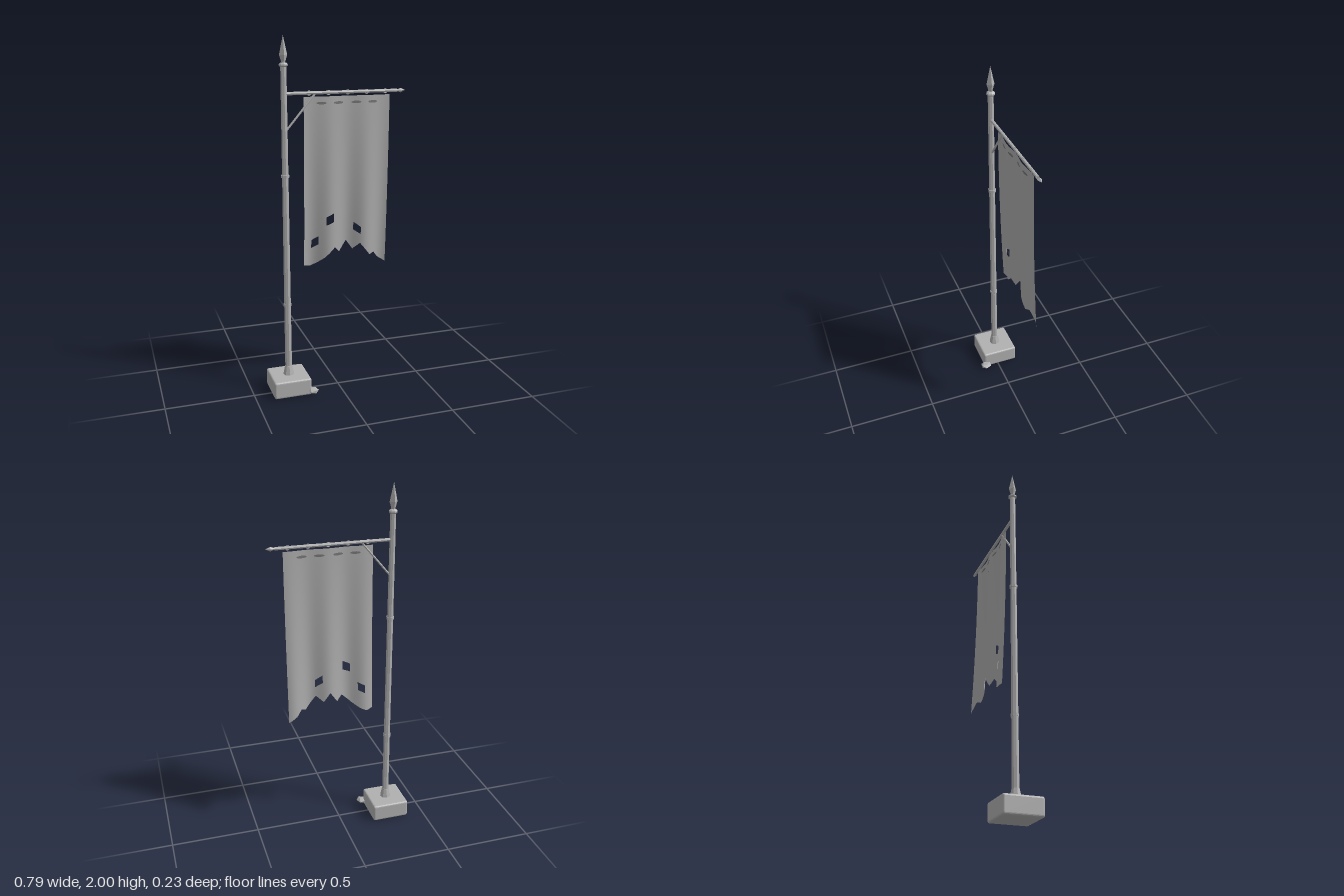
import * as THREE from 'three';
import { RoundedBoxGeometry } from 'three/addons/geometries/RoundedBoxGeometry.js';

const POLE_X = -0.292, POLE_Z = -0.015, BAR_Y = 1.7, CLOTH_TOP = 1.68;

export function createModel() {
  const group = new THREE.Group();
  const grey = new THREE.MeshStandardMaterial({ color: 0xb0b0b0, flatShading: true });
  grey.name = 'plain grey';
  const cloth = new THREE.MeshStandardMaterial({ color: 0xacacac, side: THREE.DoubleSide });
  cloth.name = 'cloth grey';
  const dark = new THREE.MeshStandardMaterial({ color: 0x777777, side: THREE.DoubleSide });
  dark.name = 'stitch grey';

  const add = (name, geometry, material, x = 0, y = 0, z = 0) => {
    const mesh = new THREE.Mesh(geometry, material);
    mesh.name = name;
    mesh.position.set(x, y, z);
    group.add(mesh);
    return mesh;
  };
  const lathe = (points, sides) =>
    new THREE.LatheGeometry(points.map(([r, y]) => new THREE.Vector2(r, y)), sides);
  // Straight round rod between two points
  const rod = (name, a, b, radius, sides) => {
    const dir = b.clone().sub(a);
    const mesh = add(name, new THREE.CylinderGeometry(radius, radius, dir.length(), sides), grey);
    mesh.position.copy(a).add(b).multiplyScalar(0.5);
    mesh.quaternion.setFromUnitVectors(new THREE.Vector3(0, 1, 0), dir.normalize());
  };

  // Chamfered base block and the loose stone beside it
  add('base', new RoundedBoxGeometry(0.215, 0.1, 0.213, 2, 0.011), grey, POLE_X, 0.052, POLE_Z);
  const stone = add('stone', new THREE.IcosahedronGeometry(0.034, 0), grey, -0.176, 0.026, 0.085);
  stone.scale.set(0.95, 0.5, 1.05);
  stone.rotation.y = 0.4;

  // Pole with foot collar, bands and cap
  add('pole', lathe([[0.02, 0.1], [0.0165, 1.85]], 8), grey, POLE_X, 0, POLE_Z);
  add('footCollar', lathe([[0.032, 0.1], [0.03, 0.112], [0.021, 0.155], [0, 0.155]], 8), grey, POLE_X, 0, POLE_Z);
  for (const y of [0.525, 1.26])
    add('poleBand', new THREE.CylinderGeometry(0.0225, 0.0225, 0.014, 8), grey, POLE_X, y, POLE_Z);
  add('poleCap', lathe([[0, 1.838], [0.018, 1.838], [0.024, 1.845], [0.024, 1.852], [0.016, 1.86], [0, 1.862]], 8),
    grey, POLE_X, 0, POLE_Z);
  add('spearhead', lathe([[0, 1.858], [0.009, 1.858], [0.022, 1.9], [0, 2]], 4), grey, POLE_X, 0, POLE_Z);

  // Crossbar, its pointed tip, and the diagonal brace
  const at = (x, y) => new THREE.Vector3(x, y, POLE_Z);
  rod('crossbar', at(POLE_X, BAR_Y), at(0.345, BAR_Y), 0.009, 8);
  const tip = add('crossbarTip', lathe([[0, 0], [0.004, 0], [0.012, 0.022], [0, 0.05]], 4), grey, 0.344, BAR_Y, POLE_Z);
  tip.rotation.z = -Math.PI / 2;
  rod('brace', at(-0.28, 1.508), at(-0.122, 1.695), 0.006, 6);

  // Rings tying the banner to the bar
  for (let i = 0; i < 5; i++)
    add('bannerRing', new THREE.TorusGeometry(0.0105, 0.0035, 6, 12), grey, -0.155 + i * 0.108, BAR_Y - 0.001, POLE_Z);

  // Depth of the hanging cloth: folds grow and drift back towards the hem
  const depth = (x, y) => {
    const t = (CLOTH_TOP - y) / 0.95;
    const fold = Math.cos((x - 0.065) * 2 * Math.PI / 0.208);
    return -0.013 - 0.024 * t * t - (0.004 + 0.014 * t) * fold;
  };
  // Patch of cloth between x0 and x1, with sloping upper and lower edges
  const patch = (pos, nor, index, x0, x1, upper, lower, nx, ny) => {
    const start = pos.length / 3, e = 0.001;
    for (let j = 0; j <= ny; j++) for (let i = 0; i <= nx; i++) {
      const x = x0 + (x1 - x0) * i / nx;
      const y = upper(x) + (lower(x) - upper(x)) * j / ny;
      const n = new THREE.Vector3(
        (depth(x - e, y) - depth(x + e, y)) / (2 * e), (depth(x, y - e) - depth(x, y + e)) / (2 * e), 1).normalize();
      pos.push(x, y, depth(x, y));
      nor.push(n.x, n.y, n.z);
    }
    for (let j = 0; j < ny; j++) for (let i = 0; i < nx; i++) {
      const a = start + j * (nx + 1) + i, b = a + nx + 1;
      index.push(a, b, a + 1, a + 1, b, b + 1);
    }
  };
  const sheet = (fill) => {
    const pos = [], nor = [], index = [];
    fill((...args) => patch(pos, nor, index, ...args));
    const g = new THREE.BufferGeometry();
    g.setAttribute('position', new THREE.Float32BufferAttribute(pos, 3));
    g.setAttribute('normal', new THREE.Float32BufferAttribute(nor, 3));
    g.setIndex(index);
    return g;
  };

  // Ragged hem, and holes given as x range, then top and bottom at each side
  const hem = [[-0.185, 0.737], [-0.148, 0.727], [-0.11, 0.745], [-0.07, 0.775], [-0.01, 0.832], [0.021, 0.802],
    [0.063, 0.863], [0.1, 0.81], [0.14, 0.845], [0.2, 0.77], [0.228, 0.78], [0.255, 0.745], [0.303, 0.713]];
  const holes = [
    { x0: -0.141, x1: -0.101, top: [0.88, 0.902], bottom: [0.833, 0.855] },
    { x0: -0.061, x1: -0.018, top: [1.012, 1.033], bottom: [0.965, 0.982] },
    { x0: 0.103, x1: 0.143, top: [0.97, 0.94], bottom: [0.925, 0.897] },
  ];
  const hemAt = (x) => {
    const i = Math.max(1, hem.findIndex((p) => p[0] >= x - 1e-9));
    const [a, b] = [hem[i - 1], hem[i]];
    return THREE.MathUtils.mapLinear(x, a[0], b[0], a[1], b[1]);
  };
  const xs = [...hem.map((p) => p[0]), ...holes.flatMap((h) => [h.x0, h.x1])].sort((a, b) => a - b);
  const top = () => CLOTH_TOP;
  add('banner', sheet((put) => {
    for (let i = 0; i < xs.length - 1; i++) {
      const [x0, x1] = [xs[i], xs[i + 1]];
      const nx = Math.ceil((x1 - x0) / 0.016);
      const hole = holes.find((h) => x0 >= h.x0 - 1e-6 && x1 <= h.x1 + 1e-6);
      if (!hole) { put(x0, x1, top, hemAt, nx, 24); continue; }
      const edge = (pair) => (x) => THREE.MathUtils.mapLinear(x, hole.x0, hole.x1, pair[0], pair[1]);
      put(x0, x1, top, edge(hole.top), nx, 18);
      put(x0, x1, edge(hole.bottom), hemAt, nx, 4);
    }
  }), cloth);

  // Row of stitched slots below the top edge, on both faces
  for (const side of [-1, 1]) {
    add('stitches', sheet((put) => {
      for (const x of [-0.087, 0.008, 0.11, 0.203]) {
        const bulge = (u) => 0.007 * Math.sqrt(Math.max(0.1, 1 - ((u - x) / 0.027) ** 2));
        put(x - 0.027, x + 0.027, (u) => 1.645 + bulge(u), (u) => 1.645 - bulge(u), 8, 1);
      }
    }), dark, 0, 0, side * 0.002);
  }
  return group;
}
